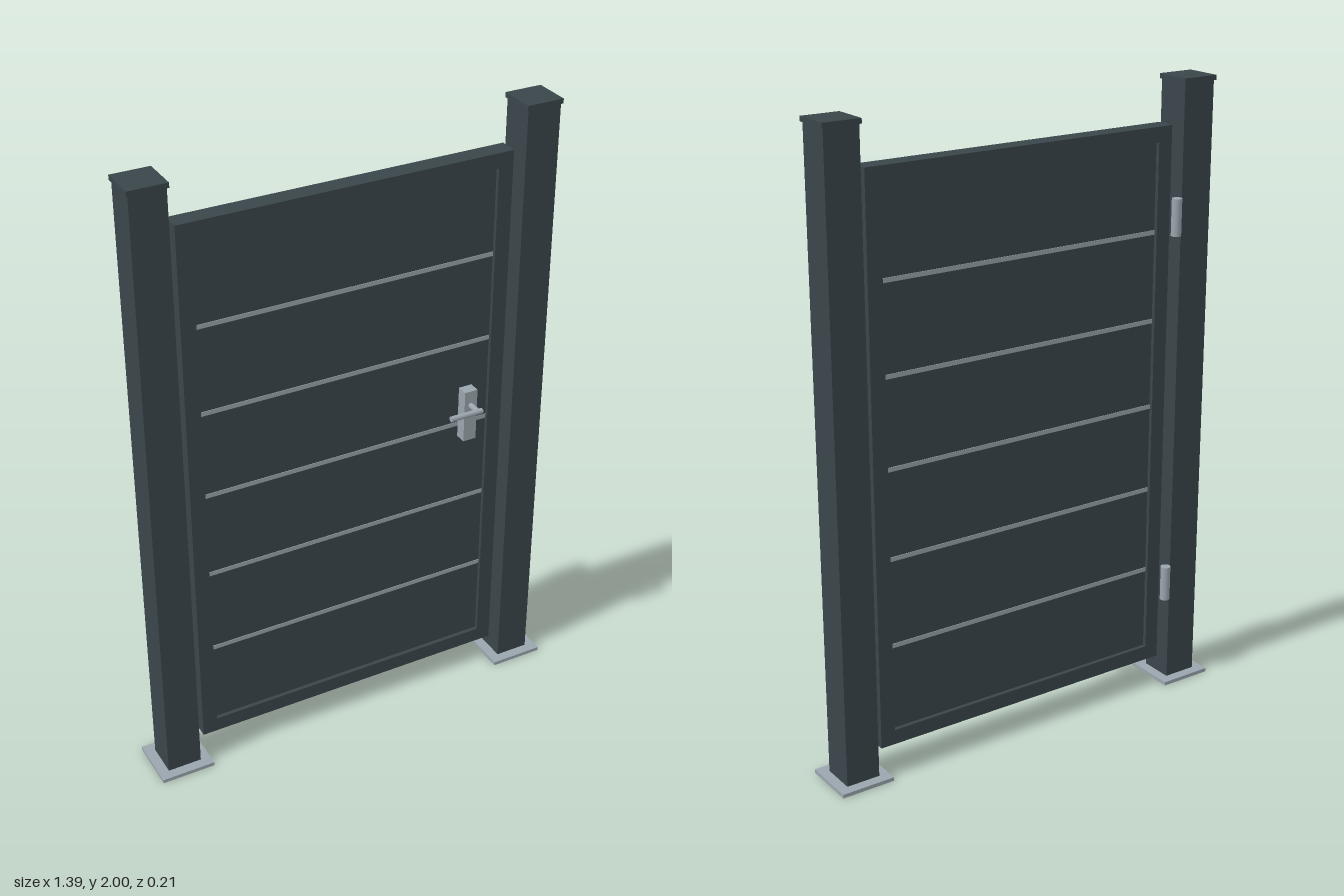
import * as THREE from 'three';

const anthracite = new THREE.MeshStandardMaterial({ color: 0x3a464b });
anthracite.name = 'anthracite';
const steel = new THREE.MeshStandardMaterial({ color: 0x9aa5ad });
steel.name = 'steel';

const AXIS_Z = -0.015; // depth of the gate's centre plane

export function createModel() {
  const gate = new THREE.Group();
  gate.name = 'gate';

  const add = (name, geometry, material, x, y, z = AXIS_Z) => {
    const mesh = new THREE.Mesh(geometry, material);
    mesh.name = name;
    mesh.position.set(x, y, z);
    gate.add(mesh);
    return mesh;
  };
  const box = (name, w, h, d, material, x, y, z) =>
    add(name, new THREE.BoxGeometry(w, h, d), material, x, y, z);

  // Square base plate with an opening for the post
  const plate = new THREE.Shape([[-1, -1], [1, -1], [1, 1], [-1, 1]]
    .map(([x, y]) => new THREE.Vector2(x * 0.0875, y * 0.0875)));
  plate.holes.push(new THREE.Path([[-1, -1], [-1, 1], [1, 1], [1, -1]]
    .map(([x, y]) => new THREE.Vector2(x * 0.055, y * 0.055))));
  const plateGeometry = new THREE.ExtrudeGeometry(plate, { depth: 0.012, bevelEnabled: false });
  plateGeometry.rotateX(-Math.PI / 2);

  // Posts with caps and base plates, frame stiles
  for (const [side, s] of [['left', 1], ['right', -1]]) {
    box(side + 'Post', 0.11, 1.985, 0.11, anthracite, s * 0.61, 0.9925);
    box(side + 'PostCap', 0.12, 0.015, 0.12, anthracite, s * 0.61, 1.9925);
    add(side + 'BasePlate', plateGeometry, steel, s * 0.61, 0);
    box(side + 'Stile', 0.048, 1.775, 0.06, anthracite, s * 0.506, 0.9725);
  }

  // Frame rails between the stiles
  box('topRail', 0.964, 0.048, 0.06, anthracite, 0, 1.836);
  box('bottomRail', 0.964, 0.048, 0.06, anthracite, 0, 0.109);

  // Recessed infill boards separated by bright strips
  const bottom = 0.133, top = 1.812, pitch = 0.2815, firstStrip = 0.409, strip = 0.014;
  for (let i = 0; i < 6; i++) {
    const y0 = i === 0 ? bottom : firstStrip + (i - 1) * pitch + strip / 2;
    const y1 = i === 5 ? top : firstStrip + i * pitch - strip / 2;
    box('infillBoard', 0.964, y1 - y0, 0.034, anthracite, 0, (y0 + y1) / 2);
    if (i < 5) box('strip', 0.964, strip, 0.038, steel, 0, firstStrip + i * pitch);
  }

  // Hinge barrels behind the right post edge
  for (const y of [0.362, 1.583])
    add('hinge', new THREE.CylinderGeometry(0.016, 0.016, 0.116, 24), steel, -0.535, y, -0.072);

  // Lock case, spindle and lever handle
  box('lockCase', 0.044, 0.174, 0.037, steel, 0.396, 1.023, 0.0335);
  const spindle = add('spindle', new THREE.CylinderGeometry(0.009, 0.009, 0.044, 20), steel, 0.396, 1.06, 0.072);
  spindle.rotation.x = Math.PI / 2;
  const lever = add('lever', new THREE.CylinderGeometry(0.009, 0.009, 0.11, 20), steel, 0.355, 1.06, 0.094);
  lever.rotation.z = Math.PI / 2;

  return gate;
}
